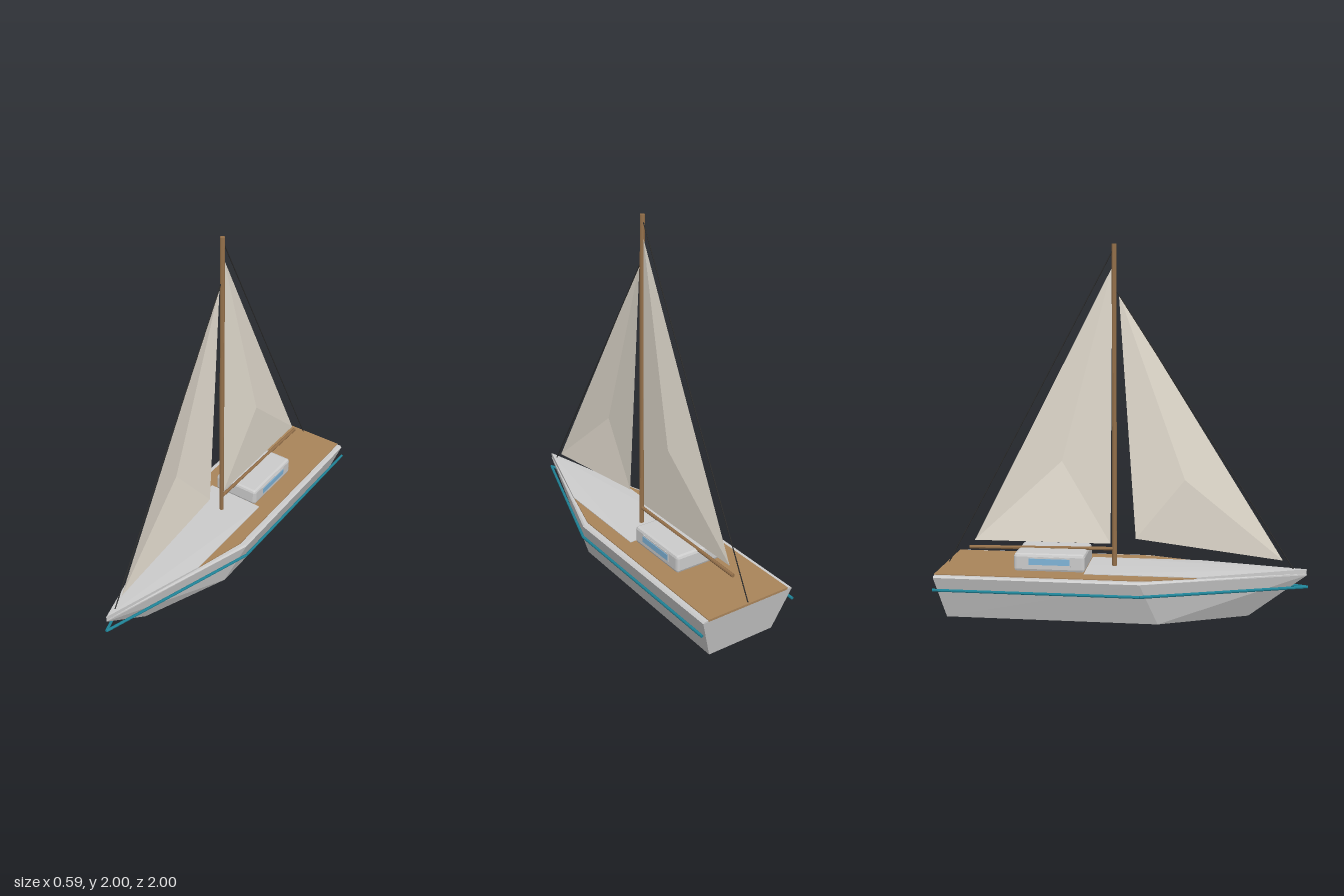
import * as THREE from 'three';
import { ConvexGeometry } from 'three/addons/geometries/ConvexGeometry.js';
import { RoundedBoxGeometry } from 'three/addons/geometries/RoundedBoxGeometry.js';

const V = (x, y, z) => new THREE.Vector3(x, y, z);
const mat = (color, side = THREE.FrontSide) =>
  new THREE.MeshStandardMaterial({ color, side, flatShading: true });

const white = mat(0xcccccc);
const wood = mat(0xa9845a);
const spar = mat(0x94704a);
const teal = mat(0x1f8296);
const glass = mat(0x7fb4d8);
const wire = mat(0x2c2c2c);
const canvas = mat(0xe6dfd2, THREE.DoubleSide);

export function createModel() {
  const boat = new THREE.Group();
  boat.name = 'sailboat';

  const add = (name, geometry, material) => {
    const mesh = new THREE.Mesh(geometry, material);
    mesh.name = name;
    boat.add(mesh);
    return mesh;
  };

  // Points on both sides of the centre line
  const mirrored = (points) => points.flatMap(([x, y, z]) =>
    x === 0 ? [V(0, y, z)] : [V(x, y, z), V(-x, y, z)]);

  // Straight round bar between two points
  const bar = (name, a, b, radius, material, sides = 8) => {
    const mesh = add(name, new THREE.CylinderGeometry(radius, radius, a.distanceTo(b), sides), material);
    mesh.position.copy(a).add(b).multiplyScalar(0.5);
    mesh.quaternion.setFromUnitVectors(V(0, 1, 0), b.clone().sub(a).normalize());
    return mesh;
  };

  // Triangular sail folded around one belly point
  const sail = (name, head, tack, clew, belly) => {
    const points = [head, tack, belly, tack, clew, belly, clew, head, belly];
    const geometry = new THREE.BufferGeometry().setFromPoints(points);
    geometry.computeVertexNormals();
    add(name, geometry, canvas);
  };

  // Hull with a flat bottom, raked stem and transom
  add('hull', new ConvexGeometry(mirrored([
    [0.2, 0, -0.95], [0.2, 0, 0.2], [0, 0, 0.68],
    [0.28, 0.238, -0.998], [0.285, 0.238, 0.11], [0, 0.238, 0.99],
    [0.27, 0.247, -0.998], [0.275, 0.247, 0.11], [0, 0.247, 0.987],
  ])), white);

  // Wooden deck
  const outline = new THREE.Shape([
    [-0.25, -1], [0.25, -1], [0.25, 0.12], [0.168, 0.41], [-0.168, 0.41], [-0.25, 0.12],
  ].map(([x, z]) => new THREE.Vector2(x, -z)));
  const deck = add('deck', new THREE.ExtrudeGeometry(outline, { depth: 0.012, bevelEnabled: false }), wood);
  deck.rotation.x = -Math.PI / 2;
  deck.position.y = 0.24;

  // Raised foredeck, rising to the bow
  add('foredeck', new ConvexGeometry(mirrored([
    [0.17, 0.24, -0.2], [0.17, 0.255, -0.2], [0, 0.257, -0.2],
    [0.17, 0.24, 0.41], [0.17, 0.256, 0.41],
    [0, 0.24, 0.988], [0, 0.271, 0.988],
  ])), white);

  // Rubbing strake along each side, meeting ahead of the stem
  for (const side of [1, -1]) {
    const aft = V(side * 0.287, 0.173, -1);
    const mid = V(side * 0.287, 0.173, 0.11);
    const bow = V(0, 0.173, 0.995);
    bar('strakeAft', aft, mid, 0.008, teal);
    bar('strakeForward', mid, bow, 0.008, teal);
  }

  // Cabin with a window on each side
  const cabin = add('cabin', new RoundedBoxGeometry(0.278, 0.1, 0.39, 1, 0.016), white);
  cabin.position.set(0, 0.297, -0.395);
  for (const side of [1, -1]) {
    const frame = add('windowFrame', new THREE.BoxGeometry(0.01, 0.05, 0.235), white);
    frame.position.set(side * 0.137, 0.305, -0.393);
    const pane = add('window', new THREE.BoxGeometry(0.01, 0.034, 0.225), glass);
    pane.position.set(side * 0.14, 0.305, -0.393);
  }

  // Spars
  bar('mast', V(0, 0.24, -0.055), V(0, 2, -0.055), 0.013, spar, 10);
  bar('boom', V(0, 0.353, -0.06), V(0, 0.34, -0.87), 0.01, spar);

  // Sails
  sail('mainsail', V(0, 1.88, -0.065), V(0, 0.38, -0.077), V(0, 0.38, -0.84), V(0.036, 0.83, -0.35));
  sail('jib', V(0, 1.74, -0.03), V(0, 0.315, 0.86), V(0, 0.412, 0.062), V(-0.028, 0.75, 0.33));

  // Stays
  bar('forestay', V(0, 0.265, 0.92), V(0, 1.75, -0.04), 0.003, wire, 6);
  bar('backstay', V(0, 0.25, -0.99), V(0, 1.97, -0.06), 0.003, wire, 6);

  return boat;
}
